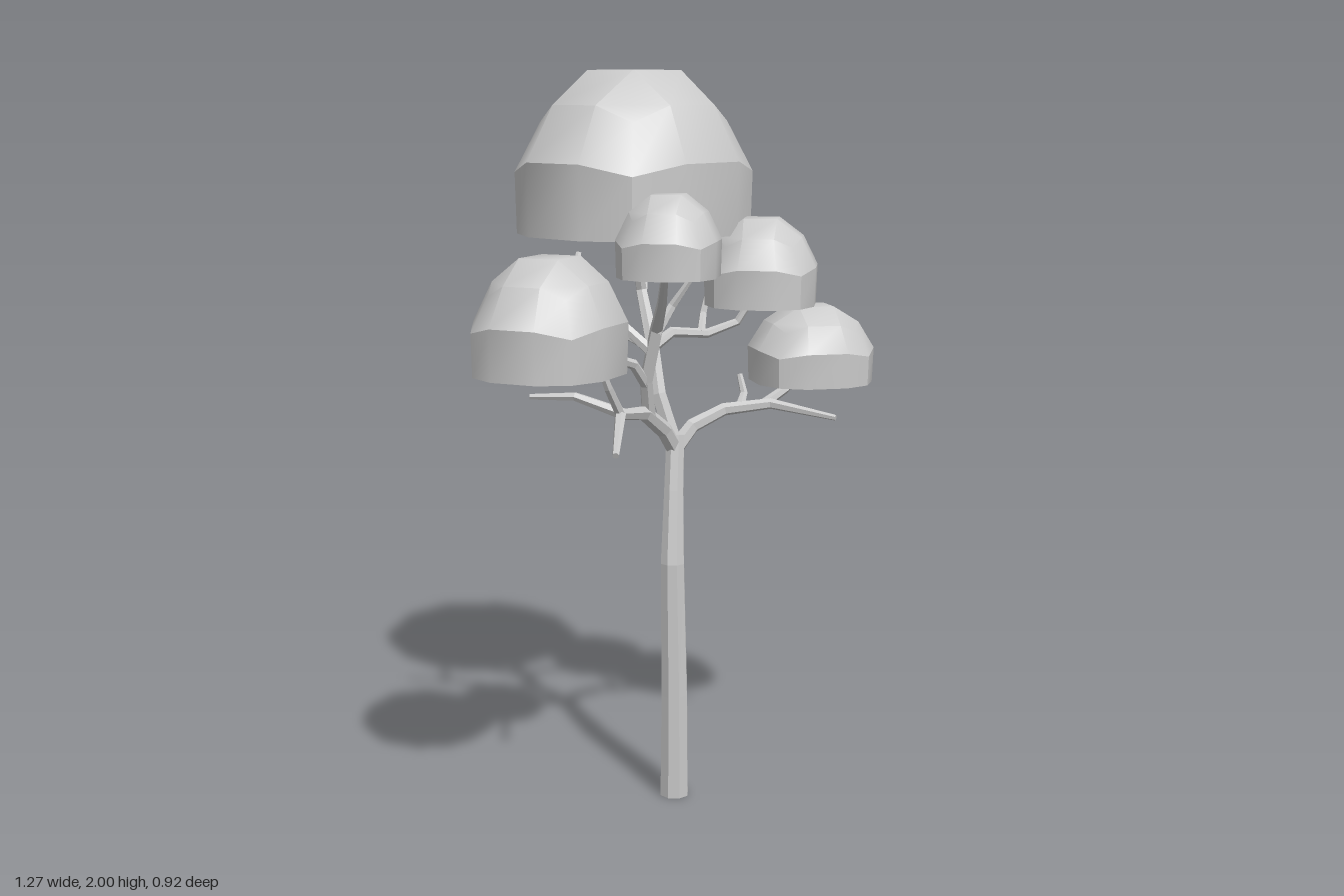
import * as THREE from 'three';
import { toCreasedNormals } from 'three/addons/utils/BufferGeometryUtils.js';

function facesToGeometry(pos, index) {
  const g = new THREE.BufferGeometry();
  g.setAttribute('position', new THREE.Float32BufferAttribute(pos, 3));
  g.setIndex(index);
  return g;
}

// Tapered, capped limb along a polyline of [x, y, z, radius]
function limbGeometry(points, sides) {
  const p = points.map(([x, y, z]) => new THREE.Vector3(x, y, z));
  const pos = [], index = [], n = p.length;
  const u = new THREE.Vector3(0.3, 0.1, 1);
  for (let i = 0; i < n; i++) {
    const t = new THREE.Vector3();
    if (i > 0) t.add(p[i].clone().sub(p[i - 1]).normalize());
    if (i < n - 1) t.add(p[i + 1].clone().sub(p[i]).normalize());
    t.normalize();
    if (i === 0 && points[0][1] === 0) t.set(0, 1, 0);
    u.addScaledVector(t, -u.dot(t)).normalize();
    const v = t.clone().cross(u);
    for (let s = 0; s < sides; s++) {
      const a = (s / sides) * Math.PI * 2;
      const q = p[i].clone()
        .addScaledVector(u, Math.cos(a) * points[i][3])
        .addScaledVector(v, Math.sin(a) * points[i][3]);
      pos.push(q.x, q.y, q.z);
      if (i < n - 1) {
        const s2 = (s + 1) % sides, a0 = i * sides + s, b0 = i * sides + s2;
        index.push(a0, b0, b0 + sides, a0, b0 + sides, a0 + sides);
      }
    }
  }
  const end = (n - 1) * sides;
  for (let s = 1; s < sides - 1; s++) index.push(0, s + 1, s, end, end + s, end + s + 1);
  return facesToGeometry(pos, index);
}

// Unit foliage dome: upper half of a rounded cube with a flat base
function domeGeometry() {
  const pos = [], index = [];
  const quad = (a, b, c, d) => index.push(a, b, c, a, c, d);
  const turn = (x, z, k) => { for (; k > 0; k--) [x, z] = [z, -x]; return [x, z]; };
  // [edge offset, edge reach, edge height, corner reach, corner height]
  const rings = [
    [0.34, 0.98, 0, 0.76, 0],
    [0.34, 1.0, 0.45, 0.77, 0.38],
    [0.28, 0.74, 0.79, 0.6, 0.69],
  ];
  for (const [e, r, h, c, ch] of rings) {
    for (let k = 0; k < 4; k++) {
      for (const [x, y, z] of [[-e, h, r], [e, h, r], [c, ch, c]]) {
        const [X, Z] = turn(x, z, k);
        pos.push(X, y, Z);
      }
    }
  }
  for (let k = 0; k < 4; k++) {
    const [X, Z] = turn(0.3, 0.3, k);
    pos.push(X, 1, Z);
  }
  for (let r = 0; r < 2; r++) {
    for (let i = 0; i < 12; i++) {
      const a = r * 12 + i, b = r * 12 + ((i + 1) % 12);
      quad(a, b, b + 12, a + 12);
    }
  }
  for (let k = 0; k < 4; k++) {
    const a = 24 + 3 * k, top = 36 + k;
    quad(a, a + 1, top, 36 + ((k + 3) % 4));
    quad(a + 1, a + 2, 24 + ((3 * k + 3) % 12), top);
  }
  quad(36, 37, 38, 39);
  for (let i = 1; i < 11; i++) index.push(0, i + 1, i);
  return facesToGeometry(pos, index);
}

export function createModel() {
  const tree = new THREE.Group();
  tree.name = 'tree';
  const bark = new THREE.MeshStandardMaterial({ color: 0xcccccc, flatShading: true });
  const leaf = new THREE.MeshStandardMaterial({ color: 0xcccccc });

  const limb = (name, points, sides = 6) => {
    const m = new THREE.Mesh(limbGeometry(points, sides), bark);
    m.name = name;
    tree.add(m);
  };

  limb('trunk', [
    [0.085, 0, 0.052, 0.041], [0.075, 0.3, 0.06, 0.038], [0.058, 0.68, 0.066, 0.034],
    [0.075, 0.88, 0.055, 0.028], [0.092, 1.03, 0.045, 0.026],
  ], 8);

  // Low branch on the model's left
  limb('leftBranch', [
    [0.09, 0.99, 0.045, 0.024], [0.14, 1.05, 0.065, 0.021], [0.22, 1.09, 0.11, 0.018],
    [0.31, 1.105, 0.2, 0.015], [0.365, 1.08, 0.38, 0.008],
  ]);
  limb('leftTwig', [[0.3, 1.1, 0.18, 0.015], [0.36, 1.14, 0.21, 0.013], [0.43, 1.2, 0.23, 0.009]]);
  limb('leftTwig', [[0.25, 1.095, 0.14, 0.014], [0.28, 1.13, 0.13, 0.011], [0.285, 1.18, 0.11, 0.008]]);

  // Low branch on the model's right
  limb('rightBranch', [
    [0.09, 0.99, 0.045, 0.024], [0.04, 1.05, 0.05, 0.023], [-0.05, 1.11, 0.06, 0.021],
    [-0.17, 1.125, 0.085, 0.016], [-0.3, 1.05, 0.19, 0.009],
  ]);
  limb('rightTwig', [[-0.16, 1.125, 0.085, 0.016], [-0.22, 1.165, -0.03, 0.012], [-0.28, 1.16, -0.135, 0.008]]);
  limb('rightTwig', [[-0.17, 1.125, 0.085, 0.014], [-0.22, 1.2, 0.09, 0.012], [-0.26, 1.28, 0.09, 0.009]]);

  // Rising branch on the model's right
  limb('risingBranch', [
    [-0.03, 1.1, 0.058, 0.02], [-0.065, 1.2, 0.08, 0.018], [-0.07, 1.34, 0.12, 0.017],
    [-0.15, 1.42, 0.21, 0.013], [-0.25, 1.52, 0.31, 0.009],
  ]);
  limb('risingTwig', [[-0.07, 1.33, 0.12, 0.015], [-0.03, 1.4, 0.14, 0.012], [-0.01, 1.47, 0.185, 0.008]]);
  limb('risingTwig', [[-0.063, 1.19, 0.078, 0.016], [-0.12, 1.25, 0.085, 0.014], [-0.2, 1.275, 0.09, 0.012], [-0.33, 1.31, 0.09, 0.009]]);
  limb('rearBranch', [
    [-0.068, 1.28, 0.1, 0.016], [-0.105, 1.36, 0.01, 0.014], [-0.17, 1.41, -0.085, 0.013], [-0.275, 1.48, -0.135, 0.008],
  ]);
  limb('rearTwig', [[-0.165, 1.405, -0.08, 0.012], [-0.15, 1.46, -0.1, 0.01], [-0.11, 1.525, -0.12, 0.008]]);

  // Central branch under the crown
  limb('centralBranch', [
    [0.09, 1.0, 0.045, 0.024], [0.068, 1.14, 0.005, 0.022], [0.09, 1.28, -0.04, 0.02],
    [0.125, 1.41, -0.11, 0.016], [0.1, 1.49, -0.1, 0.013], [0.1, 1.59, -0.1, 0.009],
  ]);
  limb('centralTwig', [[0.122, 1.4, -0.105, 0.015], [0.18, 1.45, -0.15, 0.012], [0.2, 1.59, -0.19, 0.009]]);
  limb('centralTwig', [[0.085, 1.26, -0.035, 0.016], [0.04, 1.32, -0.16, 0.013], [-0.05, 1.44, -0.225, 0.008]]);
  limb('sideBranch', [
    [0.085, 1.26, -0.035, 0.017], [0.14, 1.3, -0.01, 0.015], [0.24, 1.29, 0.03, 0.013],
    [0.31, 1.32, 0.08, 0.011], [0.34, 1.4, 0.12, 0.009],
  ]);
  limb('sideTwig', [[0.22, 1.292, 0.025, 0.012], [0.27, 1.34, -0.01, 0.01], [0.29, 1.4, -0.01, 0.008]]);

  // Foliage domes: name, centre x, base y, centre z, half width, height, half depth, turn
  const dome = toCreasedNormals(domeGeometry(), 0.57);
  for (const [name, x, y, z, w, h, d, turn] of [
    ['crownFoliage', 0.165, 1.56, -0.172, 0.32, 0.44, 0.283, 0],
    ['rightFoliage', -0.43, 1.265, 0.095, 0.2, 0.285, 0.178, 0.3],
    ['rightFrontFoliage', -0.255, 1.505, 0.325, 0.137, 0.198, 0.123, 0.55],
    ['leftUpperFoliage', 0.355, 1.37, 0.125, 0.17, 0.235, 0.152, 0.6],
    ['leftLowerFoliage', 0.457, 1.155, 0.222, 0.163, 0.21, 0.165, 0.95],
  ]) {
    const m = new THREE.Mesh(dome, leaf);
    m.name = name;
    m.position.set(x, y, z);
    m.scale.set(w, h, d);
    m.rotation.y = turn;
    tree.add(m);
  }
  return tree;
}
